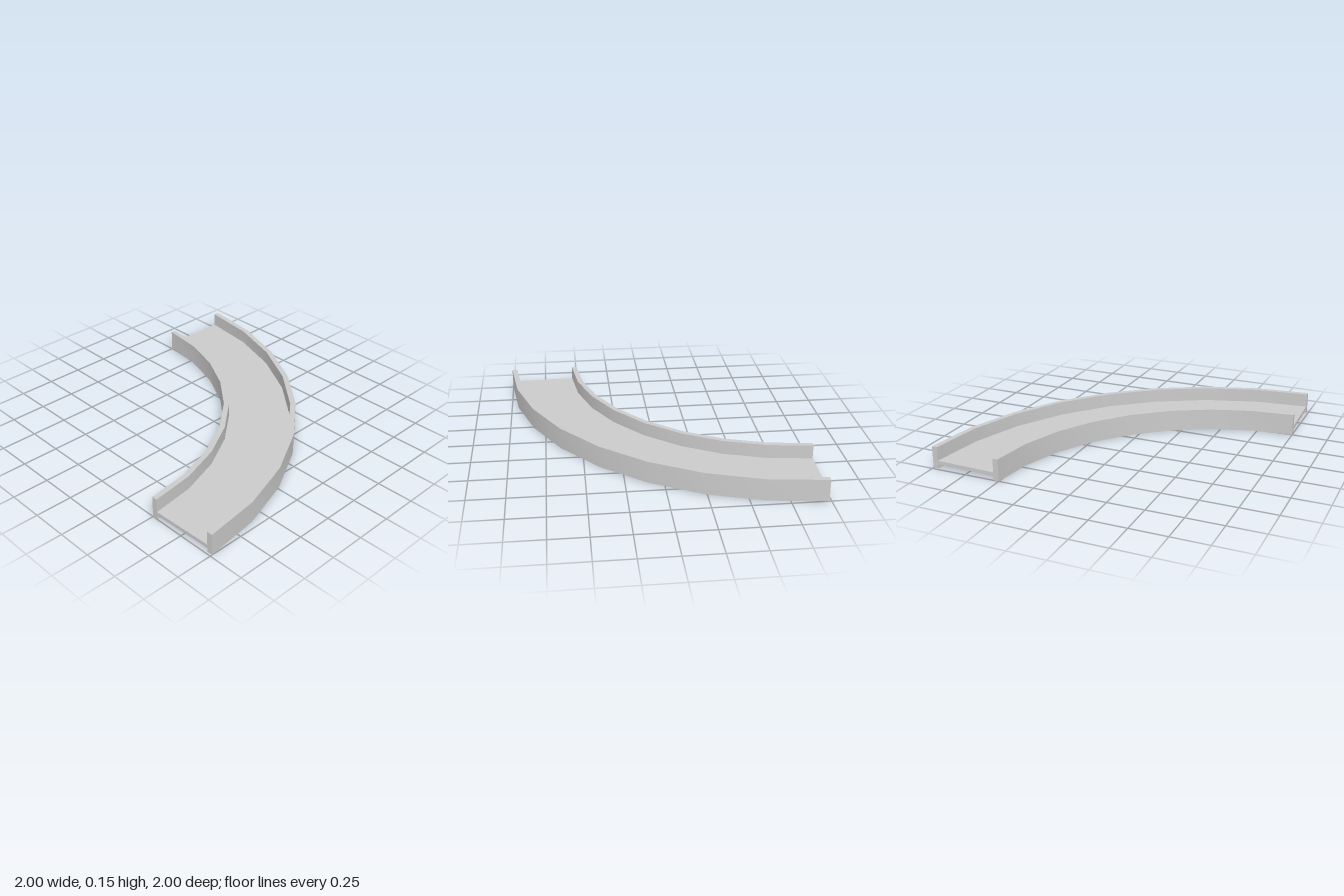
import * as THREE from 'three';
import { toCreasedNormals } from 'three/addons/utils/BufferGeometryUtils.js';

const CENTRE = -1.046; // arc centre, same in x and z
const START = THREE.MathUtils.degToRad(1.7);
const END = Math.PI / 2 - START;
const SEGMENTS = 8;

const material = new THREE.MeshStandardMaterial({ color: 0xcccccc });

// Curved bar with a rectangular section, between two radii and two heights
function arcBar(name, inner, outer, bottom, top) {
  const points = [];
  const addPoint = (radius, i) => {
    const a = START + ((END - START) * i) / SEGMENTS;
    points.push(new THREE.Vector2(CENTRE + radius * Math.cos(a), CENTRE + radius * Math.sin(a)));
  };
  for (let i = 0; i <= SEGMENTS; i++) addPoint(outer, i);
  for (let i = SEGMENTS; i >= 0; i--) addPoint(inner, i);

  const geometry = new THREE.ExtrudeGeometry(new THREE.Shape(points), {
    depth: top - bottom,
    bevelEnabled: false,
  });
  geometry.rotateX(Math.PI / 2); // plan lies in xz, depth runs down from the top
  geometry.translate(0, top, 0);
  const mesh = new THREE.Mesh(toCreasedNormals(geometry, 0.5), material);
  mesh.name = name;
  return mesh;
}

export function createModel() {
  const group = new THREE.Group();
  group.name = 'curvedTrack';
  group.add(
    arcBar('innerWall', 1.547, 1.584, 0, 0.15),
    arcBar('outerWall', 2.009, 2.047, 0, 0.15),
    // Floor sits above the lower edges of the walls
    arcBar('floor', 1.584, 2.009, 0.03, 0.055)
  );
  return group;
}
